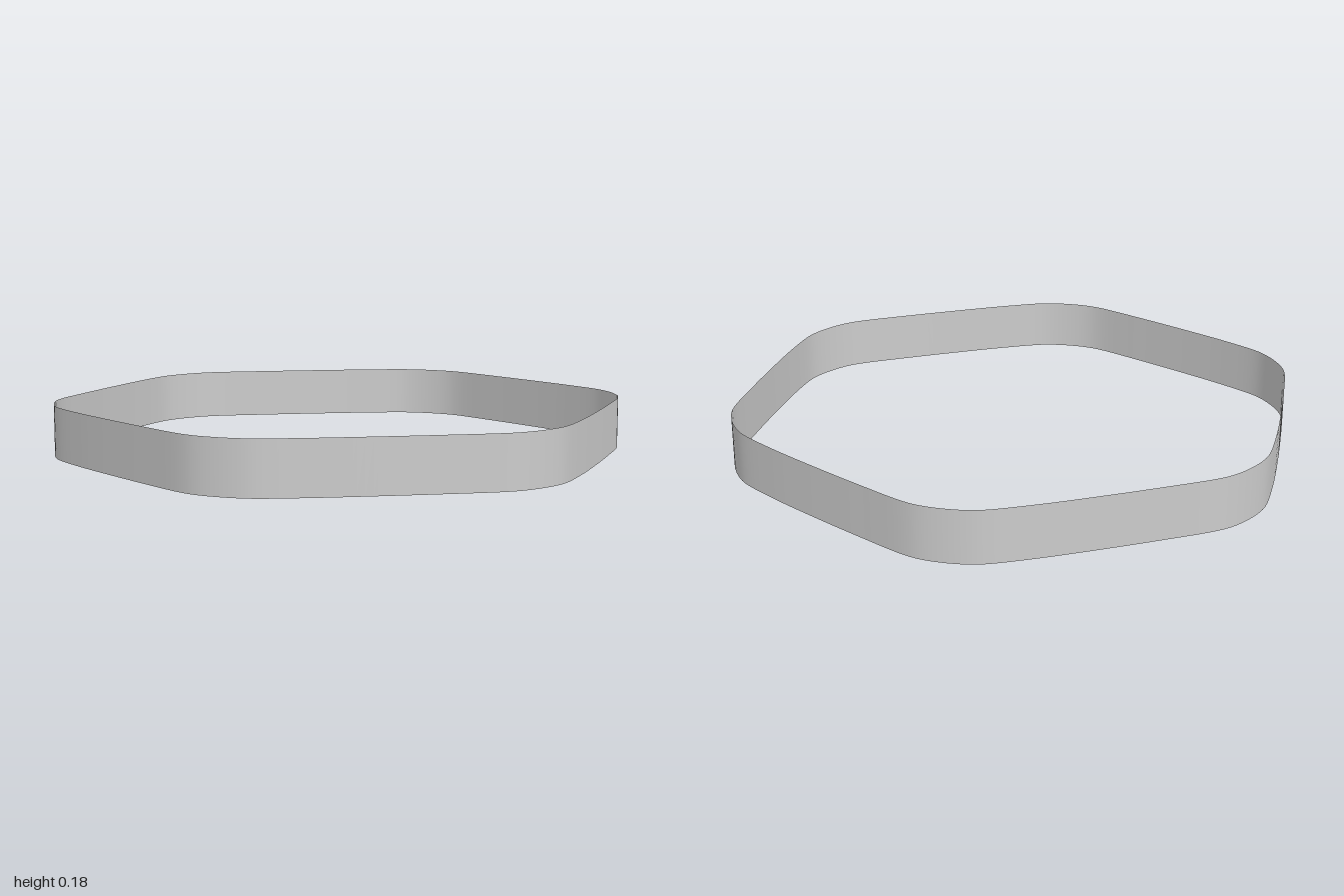
import * as THREE from 'three';

const HEIGHT = 0.18;

// One sixth of the outline as [angle in degrees, radius]: a rounded corner, then a slightly bowed side
const SEXTANT = [
  [53.6, 0.984], [57, 0.996], [61, 1.0], [65, 0.998], [68.3, 0.99],
  [77.8, 0.949], [90, 0.924], [102.3, 0.937],
];

function outlineCurve() {
  const points = [];
  for (let i = 0; i < 6; i++) {
    for (const [degrees, radius] of SEXTANT) {
      const a = THREE.MathUtils.degToRad(degrees + i * 60);
      points.push(new THREE.Vector3(radius * Math.cos(a), 0, -radius * Math.sin(a)));
    }
  }
  return new THREE.CatmullRomCurve3(points, true, 'centripetal');
}

export function createModel() {
  const group = new THREE.Group();
  group.name = 'hexagonalBand';

  // Thin open wall: an open cylinder whose vertices follow the rounded hexagon
  const curve = outlineCurve();
  const geometry = new THREE.CylinderGeometry(1, 1, HEIGHT, 240, 1, true);
  geometry.translate(0, HEIGHT / 2, 0);
  const { position, normal, uv } = geometry.attributes;
  for (let i = 0; i < position.count; i++) {
    const u = uv.getX(i) % 1;
    const p = curve.getPointAt(u);
    const t = curve.getTangentAt(u);
    position.setXYZ(i, p.x, position.getY(i), p.z);
    normal.setXYZ(i, -t.z, 0, t.x);
  }

  const material = new THREE.MeshStandardMaterial({ color: 0xcccccc, side: THREE.DoubleSide });
  const wall = new THREE.Mesh(geometry, material);
  wall.name = 'bandWall';
  group.add(wall);
  return group;
}
